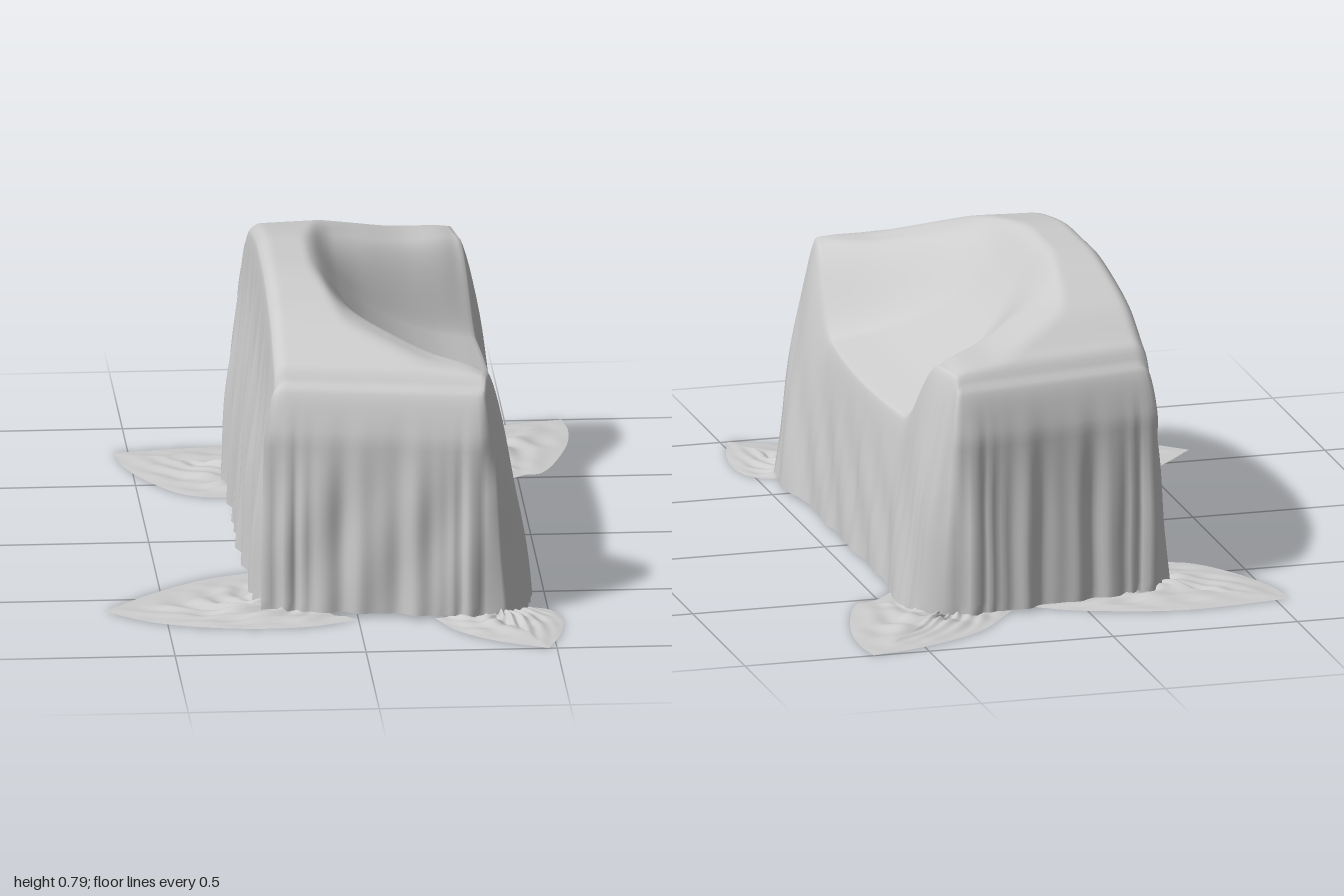
import * as THREE from 'three';

const clothMat = new THREE.MeshStandardMaterial({ color: 0xcccccc, side: THREE.DoubleSide });
clothMat.name = 'pale grey cloth';

const { lerp, smoothstep, clamp } = THREE.MathUtils;

// Smooth lookup through [input, output] pairs
function table(pts, x) {
  const n = pts.length - 1;
  x = clamp(x, pts[0][0], pts[n][0]);
  let i = 0;
  while (i < n - 1 && x > pts[i + 1][0]) i++;
  const slope = k => {
    const a = pts[Math.max(0, k - 1)], b = pts[Math.min(n, k + 1)];
    return (b[1] - a[1]) / (b[0] - a[0]);
  };
  const [x0, y0] = pts[i], [x1, y1] = pts[i + 1];
  const h = x1 - x0, t = (x - x0) / h, s = t * t * (3 - 2 * t);
  return lerp(y0, y1, s) + h * t * (1 - t) * (slope(i) * (1 - t) - slope(i + 1) * t);
}

function softMin(a, b) {
  const h = Math.max(0.02 - Math.abs(a - b), 0) / 0.02;
  return Math.min(a, b) - h * h * 0.005;
}

// Height profiles of the draped sofa
const crest = [[0, 0.8], [0.2, 0.797], [0.45, 0.775], [0.72, 0.735], [0.9, 0.675], [0.96, 0.655], [1, 0.62]];
const armLine = [[-0.1, 0.83], [-0.065, 0.795], [-0.035, 0.762], [0, 0.738], [0.1, 0.7], [0.2, 0.669], [0.3, 0.656], [0.34, 0.645]];
const seatLine = [[-0.09, 0.805], [-0.06, 0.778], [0, 0.7], [0.07, 0.622], [0.16, 0.548], [0.26, 0.49], [0.36, 0.45], [0.4, 0.435]];
// Outward lean of the front skirt, from the middle to the corners
const frontLean = [[0, 0.055], [0.5, 0.068], [0.78, 0.112], [0.92, 0.112], [1, 0.085]];

function topHeight(x, z, v) {
  const outer = softMin(table(crest, Math.abs(v)), table(armLine, x));
  const ridge = 0.3 + 0.72 * (x + 0.07);            // where the cloth tips over into the seat
  const floor = Math.max(0, ridge - 0.27);
  const a = smoothstep(Math.abs(z - 0.03), floor, ridge);
  return lerp(softMin(outer, table(seatLine, x)), outer, a);
}

// Sheet over back, arms and seat, with a folded skirt hanging from its rim
function drapeGeometry() {
  const NX = 56, NZ = 160, ROWS = 28;
  const pos = [], idx = [];
  const id = (i, j) => i * (NZ + 1) + j;
  for (let i = 0; i <= NX; i++) {
    for (let j = 0; j <= NZ; j++) {
      const u = i / NX, v = (j / NZ) * 2 - 1;
      const x = -0.208 + u * (0.538 + 0.06 * (1 - v * v));
      const z = v * (0.6 + 0.17 * (x + 0.2));
      const lip = 0.018 * Math.pow(clamp(1 - u / 0.05, 0, 1), 2);
      pos.push(x, topHeight(x, z, v) - lip, z);
      if (i < NX && j < NZ) {
        idx.push(id(i, j), id(i, j + 1), id(i + 1, j), id(i + 1, j), id(i, j + 1), id(i + 1, j + 1));
      }
    }
  }
  // Rim loop: back, left end, front, right end
  const rim = [];
  for (let j = 0; j < NZ; j++) rim.push([id(0, j), 'back']);
  for (let i = 0; i < NX; i++) rim.push([id(i, NZ), 'end']);
  for (let j = NZ; j > 0; j--) rim.push([id(NX, j), 'front']);
  for (let i = NX; i > 0; i--) rim.push([id(i, 0), 'end']);
  const N = rim.length;
  const at = k => new THREE.Vector3().fromArray(pos, rim[(k + N) % N][0] * 3);
  const corners = [id(0, 0), id(0, NZ), id(NX, NZ), id(NX, 0)].map(k => new THREE.Vector3().fromArray(pos, k * 3));

  // Outward offset of the skirt at drop t (0 rim, 1 floor)
  const flare = {
    back: t => 0.022 * Math.sqrt(t) + 0.03 * t,
    end: t => 0.048 * Math.sqrt(Math.min(1, t / 0.22)) + 0.006 * t,
    front: (t, v) => table(frontLean, Math.abs(v)) * Math.pow(t, 0.7),
  };
  const foldSize = { back: 0.026, end: 0.011, front: 0.003 };

  const start = pos.length / 3;
  const columns = rim.map(([, side], k) => {
    const p = at(k), tan = at(k + 4).sub(at(k - 4)).setY(0).normalize();
    const near = Math.min(...corners.map(c => Math.hypot(c.x - p.x, c.z - p.z)));
    const bunch = Math.exp(-Math.pow(near / 0.07, 2));
    const s = side === 'end' ? p.x : p.z;
    const pleat = 0.65 * Math.sin(s * 40 + 1.3 * Math.sin(s * 7)) + 0.35 * Math.sin(s * 83 + 1);
    const crumple = Math.sin(near * 150 + p.z * 4);
    return { p, side, n: new THREE.Vector3(-tan.z, 0, tan.x), bunch, pleat, crumple, s };
  });
  for (let r = 1; r <= ROWS; r++) {
    const t = Math.pow(r / ROWS, 1.3);
    for (const { p, side, n, bunch, pleat, crumple, s } of columns) {
      const hang = smoothstep(t, 0.03, 0.7);
      const sway = Math.sin(s * 25 + t * 9) * 0.003 * hang;
      const out = flare[side](t, p.z / 0.69) + hang * (foldSize[side] * pleat * (1 - bunch)
        + bunch * 0.013 * crumple) + sway;
      const hem = 0.014 + (side === 'back' ? 0.012 * (1 + pleat) * (1 - bunch) : 0);
      // Front corners hang straight down at the ends
      const zOut = n.z * (side === 'front' ? Math.min(out, 0.055) : out);
      pos.push(p.x + n.x * out, lerp(p.y, hem, t), p.z + zOut);
    }
  }
  const sk = (r, k) => (r === 0 ? rim[k % N][0] : start + (r - 1) * N + (k % N));
  for (let r = 0; r < ROWS; r++) {
    for (let k = 0; k < N; k++) {
      idx.push(sk(r, k), sk(r + 1, k), sk(r, k + 1), sk(r, k + 1), sk(r + 1, k), sk(r + 1, k + 1));
    }
  }
  return finish(pos, idx);
}

function finish(pos, idx) {
  const g = new THREE.BufferGeometry();
  g.setAttribute('position', new THREE.Float32BufferAttribute(pos, 3));
  g.setIndex(idx);
  g.computeVertexNormals();
  return g;
}

// Cloth corner lying on the floor: a fan from the sofa corner to two curved edges meeting at a tip
function floorCorner(center, edgeA, edgeB) {
  const M = 48, R = 26, pos = [], idx = [];
  const curve = pts => new THREE.CatmullRomCurve3(pts.map(([x, z]) => new THREE.Vector3(x, 0.005, z)));
  const outline = [...curve(edgeA).getPoints(M), ...curve(edgeB).getPoints(M).slice(1)];
  const W = outline.length;
  for (let r = 0; r <= R; r++) {
    const t = r / R;
    outline.forEach((p, k) => {
      const x = lerp(center[0], p.x, t), z = lerp(center[1], p.z, t);
      // Crumpled near the sofa, flat at the outer edge
      const wave = Math.sin(k * 0.3 + 5 * t) * Math.sin(t * 17 + k * 0.13) + 0.5 * Math.sin(x * 48 + 2 * Math.sin(z * 37));
      pos.push(x, 0.005 + (1 - t) * (0.017 + 0.012 * wave), z);
      if (r < R && k < W - 1) {
        const a = r * W + k, b = a + W;
        idx.push(a, a + 1, b, b, a + 1, b + 1);
      }
    });
  }
  return finish(pos, idx);
}

// Outlines run the same way round, so that every sheet faces up
const floorCorners = {
  backRightFloorCloth: [[-0.19, -0.6],
    [[0.13, -0.68], [0.06, -0.73], [-0.05, -0.775], [-0.25, -0.82], [-0.54, -0.79]],
    [[-0.54, -0.79], [-0.52, -0.66], [-0.46, -0.52], [-0.38, -0.41], [-0.31, -0.38], [-0.2, -0.38]]],
  frontRightFloorCloth: [[0.36, -0.68],
    [[0.42, -0.42], [0.52, -0.52], [0.56, -0.53], [0.64, -0.74], [0.66, -0.9], [0.65, -1]],
    [[0.65, -1], [0.5, -0.96], [0.32, -0.86], [0.19, -0.7]]],
  frontLeftFloorCloth: [[0.36, 0.7],
    [[0.2, 0.72], [0.25, 0.83], [0.35, 0.93], [0.48, 1]],
    [[0.48, 1], [0.52, 0.87], [0.53, 0.74], [0.5, 0.66], [0.42, 0.63]]],
  backLeftFloorCloth: [[-0.19, 0.6],
    [[-0.21, 0.27], [-0.38, 0.34], [-0.53, 0.46], [-0.66, 0.6]],
    [[-0.66, 0.6], [-0.53, 0.71], [-0.35, 0.77], [-0.15, 0.775], [0, 0.72]]],
};

export function createModel() {
  const group = new THREE.Group();
  group.name = 'clothCoveredSofa';
  const add = (name, geometry) => {
    const mesh = new THREE.Mesh(geometry, clothMat);
    mesh.name = name;
    group.add(mesh);
  };
  add('sofaDrape', drapeGeometry());
  for (const [name, outline] of Object.entries(floorCorners)) add(name, floorCorner(...outline));
  return group;
}
